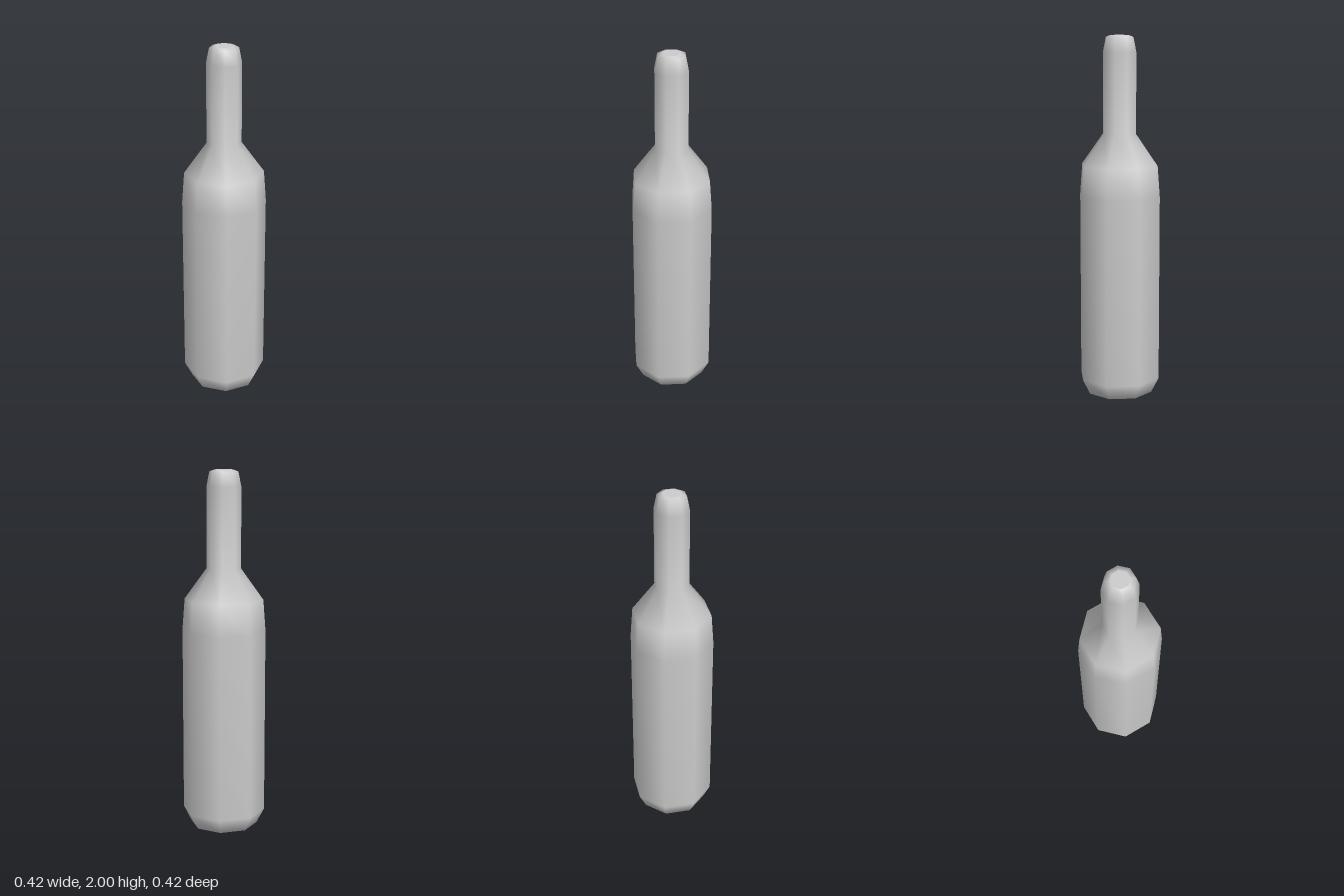
import * as THREE from 'three';

const SIDES = 8;
const PHASE = Math.PI / SIDES;
const CORNER = 1 / Math.cos(PHASE); // flat-to-centre distance -> corner radius

export function createModel() {
  const group = new THREE.Group();
  group.name = 'bottle';
  const glass = new THREE.MeshStandardMaterial({ color: 0xcccccc });
  glass.name = 'pale grey';

  const add = (name, geometry) => {
    const mesh = new THREE.Mesh(geometry, glass);
    mesh.name = name;
    group.add(mesh);
    return mesh;
  };

  // Smooth eight-sided shell: [distance to flat, height], bottom to top
  const profile = [
    [0.1, 0], [0.172, 0.015], [0.212, 0.1], [0.212, 1.13], [0.2, 1.3],
    [0.087, 1.47], [0.087, 1.91], [0.072, 1.99], [0.046, 2],
  ].map(([r, y]) => new THREE.Vector2(r * CORNER, y));
  add('bottleShell', new THREE.LatheGeometry(profile, SIDES, PHASE));

  // Flat end caps
  const cap = (name, r, y, facing) => {
    const geometry = new THREE.CircleGeometry(r * CORNER, SIDES, PHASE);
    geometry.rotateX(-facing * Math.PI / 2).translate(0, y, 0);
    add(name, geometry);
  };
  cap('mouthCap', 0.046, 2, 1);
  cap('baseCap', 0.1, 0, -1);

  return group;
}
